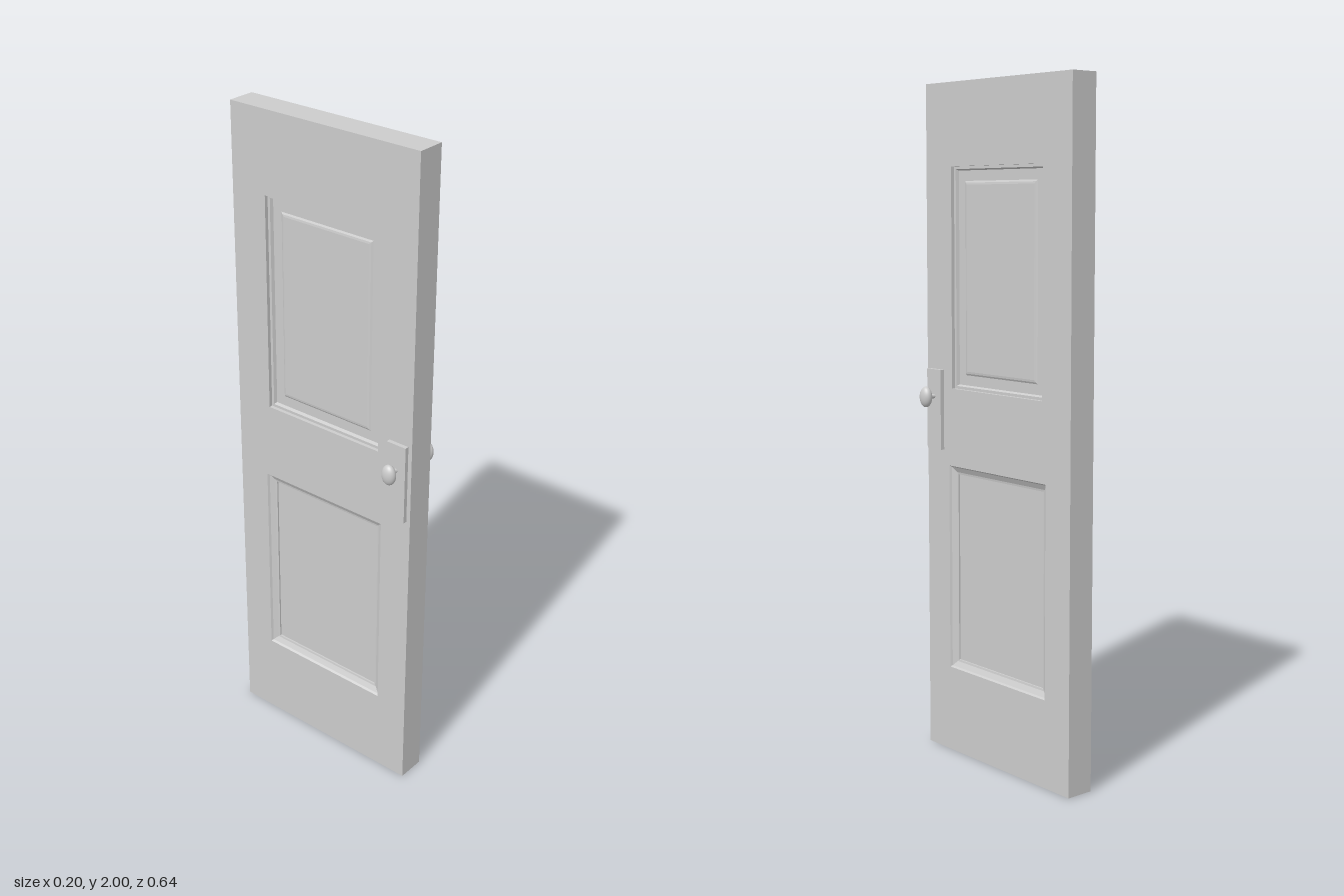
import * as THREE from 'three';

const material = new THREE.MeshStandardMaterial({ color: 0xcccccc });
const flat = new THREE.MeshStandardMaterial({ color: 0xcccccc, flatShading: true });

const HALF_THICK = 0.0425, HALF_WIDTH = 0.318, HEIGHT = 2;

// Each panel: half width, bottom, top and a profile of [inset, depth] steps
const PANELS = [
  { name: 'upperPanel', w: 0.201, y0: 1.112, y1: 1.76,
    profile: [[0, 0], [0, 0.011], [0.008, 0.011], [0.012, 0.02], [0.042, 0.02], [0.047, 0.017], [0.053, 0.016]] },
  { name: 'lowerPanel', w: 0.216, y0: 0.26, y1: 0.88,
    profile: [[0, 0], [0.004, 0.006], [0.019, 0.014], [0.025, 0.015], [0.025, 0.02]] },
];

function part(name, geometry, mat = material) {
  const mesh = new THREE.Mesh(geometry, mat);
  mesh.name = name;
  return mesh;
}

// Mitred rectangular rings stepping inward, closed by a flat field
function panelGeometry({ w, y0, y1, profile }) {
  const positions = [], index = [];
  for (const [inset, depth] of profile) {
    const x = w - inset, b = y0 + inset, t = y1 - inset;
    positions.push(-x, b, -depth, x, b, -depth, x, t, -depth, -x, t, -depth);
  }
  for (let r = 0; r < profile.length - 1; r++) {
    for (let i = 0; i < 4; i++) {
      const a = r * 4 + i, b = r * 4 + (i + 1) % 4;
      index.push(a, b, b + 4, a, b + 4, a + 4);
    }
  }
  const n = (profile.length - 1) * 4;
  index.push(n, n + 1, n + 2, n, n + 2, n + 3);
  const indexed = new THREE.BufferGeometry();
  indexed.setAttribute('position', new THREE.Float32BufferAttribute(positions, 3));
  indexed.setIndex(index);
  const geometry = indexed.toNonIndexed();
  geometry.computeVertexNormals();
  return geometry;
}

function rectangle(path, w, y0, y1) {
  return path.moveTo(-w, y0).lineTo(w, y0).lineTo(w, y1).lineTo(-w, y1).closePath();
}

// Backplate, stem and oval knob on one face
function handle(side) {
  const group = new THREE.Group();
  group.name = side > 0 ? 'leftHandle' : 'rightHandle';

  const plate = part('backplate', new THREE.BoxGeometry(0.014, 0.24, 0.065));
  plate.position.set(side * 0.048, 1.045, 0.273);

  const stem = part('stem', new THREE.CylinderGeometry(0.0065, 0.0065, 0.03, 20));
  stem.rotation.z = Math.PI / 2;
  stem.position.set(side * 0.065, 1.084, 0.273);

  const knob = part('knob', new THREE.SphereGeometry(1, 32, 20));
  knob.scale.set(0.0165, 0.031, 0.0225);
  knob.position.set(side * 0.085, 1.084, 0.273);

  group.add(plate, stem, knob);
  return group;
}

export function createModel() {
  const door = new THREE.Group();
  door.name = 'door';

  // Frame of stiles and rails, pierced for the two panels
  const outline = rectangle(new THREE.Shape(), HALF_WIDTH, 0, HEIGHT);
  for (const p of PANELS) outline.holes.push(rectangle(new THREE.Path(), p.w, p.y0, p.y1));
  const frame = new THREE.ExtrudeGeometry(outline, { depth: HALF_THICK * 2, bevelEnabled: false });
  frame.translate(0, 0, -HALF_THICK).rotateY(Math.PI / 2);
  door.add(part('frame', frame));

  // Moulded panels and handles on both faces
  for (const side of [1, -1]) {
    for (const p of PANELS) {
      const panel = part(p.name, panelGeometry(p), flat);
      panel.rotation.y = side * Math.PI / 2;
      panel.position.x = side * HALF_THICK;
      door.add(panel);
    }
    door.add(handle(side));
  }
  return door;
}
